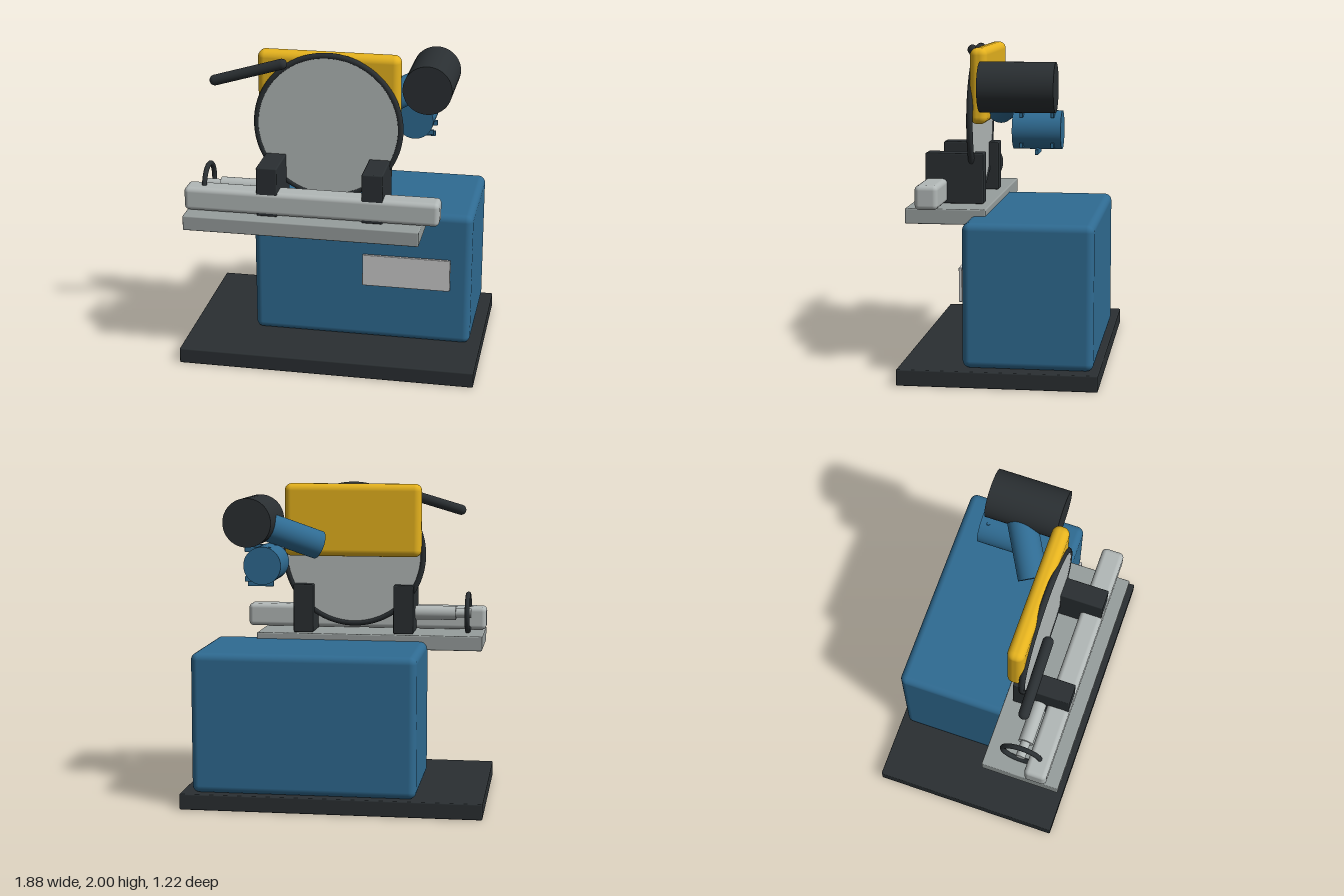
import * as THREE from 'three';
import { RoundedBoxGeometry } from 'three/addons/geometries/RoundedBoxGeometry.js';

const mat = (color) => new THREE.MeshStandardMaterial({ color });

export function createModel() {
  const root = new THREE.Group();
  const blue = mat(0x2f6b92), dark = mat(0x2a2f32), yellow = mat(0xe6b31e);
  const steel = mat(0xb2b8b7), iron = mat(0x979e9d), pale = mat(0xd6d6d3);

  const add = (name, geometry, material) => {
    const mesh = new THREE.Mesh(geometry, material);
    mesh.name = name;
    root.add(mesh);
    return mesh;
  };
  // Rounded box given by its extents on each axis
  const box = (name, material, [x0, x1], [y0, y1], [z0, z1], r) =>
    add(name, new RoundedBoxGeometry(x1 - x0, y1 - y0, z1 - z0, 4, r), material)
      .position.set((x0 + x1) / 2, (y0 + y1) / 2, (z0 + z1) / 2);
  // Round bar between two points, optionally with domed ends
  const rod = (name, material, from, to, r, domed = false) => {
    const a = new THREE.Vector3(...from), b = new THREE.Vector3(...to);
    const dir = b.clone().sub(a), length = dir.length();
    const mesh = add(name, domed
      ? new THREE.CapsuleGeometry(r, length, 8, 24)
      : new THREE.CylinderGeometry(r, r, length, 48), material);
    mesh.position.copy(a).add(b).multiplyScalar(0.5);
    mesh.quaternion.setFromUnitVectors(new THREE.Vector3(0, 1, 0), dir.normalize());
  };

  // Floor plate, cabinet and blank nameplate
  box('basePlate', dark, [-0.94, 0.94], [0, 0.1], [-0.61, 0.6], 0.008);
  box('cabinet', blue, [-0.53, 0.87], [0.1, 0.98], [-0.575, 0.213], 0.045);
  box('nameplate', pale, [0.18, 0.74], [0.48, 0.69], [0.23, 0.25], 0.004);

  // Work table, front rail and vise jaws
  box('table', iron, [-0.885, 0.585], [0.925, 1.02], [0.11, 0.61], 0.008);
  box('frontRail', steel, [-0.895, 0.695], [1.025, 1.175], [0.387, 0.53], 0.03);
  for (const x of [-0.37, 0.285]) {
    box('viseJaw', dark, [x - 0.065, x + 0.065], [1.02, 1.335], [0.16, 0.525], 0.008);
  }

  // Vise screw and handwheel
  rod('viseScrewSleeve', steel, [-0.7, 1.142, 0.335], [-0.38, 1.142, 0.335], 0.046);
  rod('viseScrew', steel, [-0.8, 1.142, 0.335], [-0.69, 1.142, 0.335], 0.03);
  const wheel = add('handwheel', new THREE.TorusGeometry(0.123, 0.016, 12, 48), dark);
  wheel.rotation.y = Math.PI / 2;
  wheel.position.set(-0.78, 1.145, 0.335);

  // Saw blade with its dark rim
  rod('blade', steel, [-0.04, 1.53, 0.222], [-0.04, 1.53, 0.25], 0.45);
  add('bladeRim', new THREE.TorusGeometry(0.45, 0.02, 12, 96), dark)
    .position.set(-0.04, 1.53, 0.235);

  // Blade guard and pull handle
  box('bladeGuard', yellow, [-0.485, 0.405], [1.52, 1.99], [0.13, 0.237], 0.045);
  rod('pullHandle', dark, [-0.727, 1.818, 0.33], [-0.307, 1.942, 0.33], 0.033, true);

  // Motor, drive arm and gearbox
  rod('driveArm', blue, [0.17, 1.6, 0.08], [0.56, 1.765, -0.15], 0.092);
  rod('motor', dark, [0.56, 1.765, 0.145], [0.56, 1.765, -0.315], 0.153);
  rod('gearbox', blue, [0.458, 1.502, -0.05], [0.458, 1.502, -0.345], 0.118);

  // Short cooling ribs around the gearbox
  for (const [y, z] of [[1.6, -0.107], [1.6, -0.295], [1.415, -0.107], [1.415, -0.295], [1.376, -0.2]]) {
    box('coolingRib', blue, [0.41, 0.575], [y - 0.016, y + 0.016], [z - 0.01, z + 0.01], 0.003);
  }
  return root;
}
